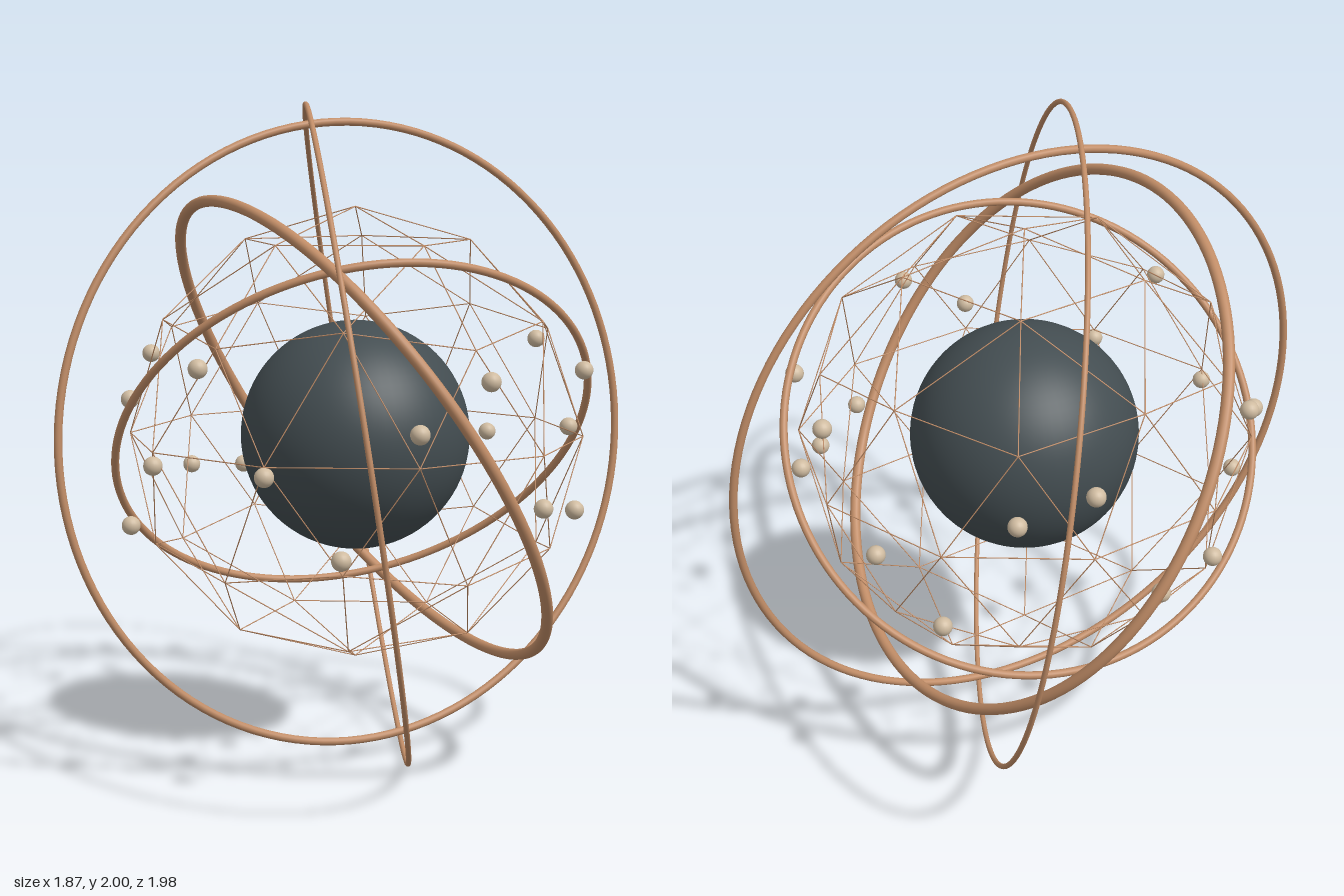
import * as THREE from 'three';
import { mergeGeometries } from 'three/addons/utils/BufferGeometryUtils.js';

const material = (name, color) => {
  const m = new THREE.MeshStandardMaterial({ color });
  m.name = name;
  return m;
};

export function createModel() {
  const copper = material('copper', 0xc08c66);
  const slate = material('slate', 0x434d51);
  const sand = material('sand', 0xcfbba0);

  const group = new THREE.Group();
  group.name = 'orbitSculpture';
  const body = new THREE.Group();
  body.name = 'body';
  body.position.y = 1;
  group.add(body);

  const add = (name, geometry, mat) => {
    const mesh = new THREE.Mesh(geometry, mat);
    mesh.name = name;
    body.add(mesh);
    return mesh;
  };

  // Solid core
  add('core', new THREE.SphereGeometry(0.348, 64, 40), slate);

  // Tilted rings: name, radius, tube radius, plane normal
  const rings = [
    ['uprightRing', 0.943, 0.012, [0.205, 0.065, 0.977]],
    ['outerRing', 1.003, 0.008, [0.967, 0.148, 0.207]],
    ['thickRing', 0.844, 0.017, [0.826, 0.538, -0.168]],
    ['innerRing', 0.734, 0.012, [-0.03, 0.665, -0.747]],
  ];
  const forward = new THREE.Vector3(0, 0, 1);
  for (const [name, radius, tube, normal] of rings) {
    const ring = add(name, new THREE.TorusGeometry(radius, tube, 16, 128), copper);
    ring.quaternion.setFromUnitVectors(forward, new THREE.Vector3(...normal).normalize());
  }

  // Wire cage: icosahedron standing on a corner, each face split in four
  const R = 0.69;
  const corners = [new THREE.Vector3(0, R, 0), new THREE.Vector3(0, -R, 0)];
  for (let i = 0; i < 10; i++) {
    const a = (i * Math.PI) / 5;
    const y = (i % 2 ? -1 : 1) / Math.sqrt(5);
    const r = 2 / Math.sqrt(5);
    corners.push(new THREE.Vector3(r * Math.cos(a), y, r * Math.sin(a)).multiplyScalar(R));
  }
  const near = (a, b) => a.distanceTo(b) < R * 1.1;
  const mid = (a, b) => a.clone().add(b).setLength(R);
  const up = new THREE.Vector3(0, 1, 0);
  const wires = [];
  const wire = (a, b) => {
    const d = b.clone().sub(a);
    const g = new THREE.CylinderGeometry(0.0016, 0.0016, d.length(), 16, 1, true);
    g.applyQuaternion(new THREE.Quaternion().setFromUnitVectors(up, d.normalize()));
    const c = a.clone().add(b).multiplyScalar(0.5);
    wires.push(g.translate(c.x, c.y, c.z));
  };
  for (let i = 0; i < 12; i++) {
    for (let j = i + 1; j < 12; j++) {
      const [a, b] = [corners[i], corners[j]];
      if (!near(a, b)) continue;
      const m = mid(a, b);
      wire(a, m);
      wire(m, b);
      for (let k = j + 1; k < 12; k++) {
        const c = corners[k];
        if (!near(a, c) || !near(b, c)) continue;
        const [n, o] = [mid(b, c), mid(a, c)];
        wire(m, n);
        wire(n, o);
        wire(o, m);
      }
    }
  }
  add('wireCage', mergeGeometries(wires), copper);

  // Beads on a wave around the core
  const beadGeometry = new THREE.SphereGeometry(0.028, 20, 14);
  for (let k = 0; k < 20; k++) {
    const a = (k * Math.PI) / 10;
    add('bead', beadGeometry, sand)
      .position.set(R * Math.cos(a), 0.259 * Math.sin(1.7 * k), -R * Math.sin(a));
  }
  return group;
}
